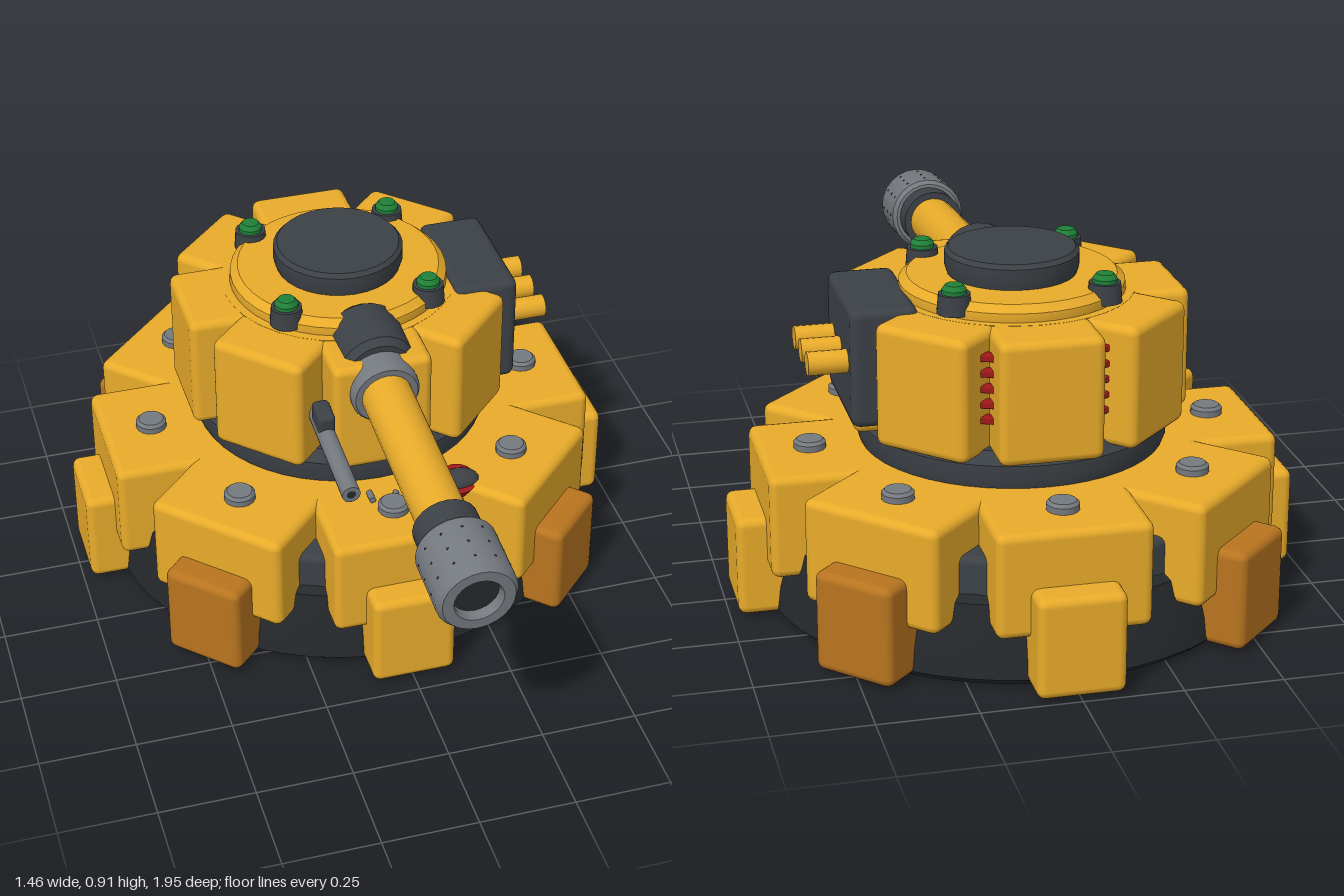
import * as THREE from 'three';
import { RoundedBoxGeometry } from 'three/addons/geometries/RoundedBoxGeometry.js';
import { toCreasedNormals } from 'three/addons/utils/BufferGeometryUtils.js';

const mat = (color) => new THREE.MeshStandardMaterial({ color });
const gold = mat(0xe8ab2a), orange = mat(0xb8741f), dark = mat(0x3c4146), black = mat(0x26292c);
const grey = mat(0x74797e), green = mat(0x1f8038), red = mat(0xa01818), brass = mat(0xc9a869);

function add(parent, name, geo, material, x = 0, y = 0, z = 0) {
  const mesh = new THREE.Mesh(geo, material);
  mesh.name = name;
  mesh.position.set(x, y, z);
  parent.add(mesh);
  return mesh;
}
const box = (w, h, d, r = 0.02) => new RoundedBoxGeometry(w, h, d, 2, r);
const lathe = (pts, seg = 40) =>
  toCreasedNormals(new THREE.LatheGeometry(pts.map(([x, y]) => new THREE.Vector2(x, y)), seg), 0.6);
const cyl = (r, h, seg = 20, r2 = r) => new THREE.CylinderGeometry(r2, r, h, seg);
const alongZ = (geo) => geo.rotateX(Math.PI / 2);

// Repeats a part in a ring, calling build(spoke, index) with +z pointing outwards
function ring(parent, name, count, offset, build) {
  for (let i = 0; i < count; i++) {
    const spoke = new THREE.Group();
    spoke.name = name;
    spoke.rotation.y = ((i + offset) / count) * Math.PI * 2;
    parent.add(spoke);
    build(spoke, i);
  }
}

function buildBase() {
  const base = new THREE.Group();
  base.name = 'base';
  add(base, 'baseDrum', lathe([[0, 0], [0.62, 0], [0.642, 0.02], [0.635, 0.08], [0.605, 0.2], [0.57, 0.23], [0, 0.23]], 48), black);
  ring(base, 'baseSegment', 8, 0, (s, i) => {
    add(s, 'armourBlock', box(0.385, 0.27, 0.355, 0.022), gold, 0, 0.275, 0.477);
    add(s, 'footPad', box(0.22, 0.26, 0.2, 0.022), i % 2 ? orange : gold, 0, 0.14, 0.63);
    add(s, 'bolt', lathe([[0.041, 0], [0.041, 0.018], [0.033, 0.026], [0, 0.026]], 16), grey, 0, 0.408, 0.523);
  });
  ring(base, 'gapFiller', 8, 0.5, (s) => {
    add(s, 'fillerBlock', box(0.13, 0.22, 0.2), dark, 0, 0.2, 0.485);
  });
  return base;
}

function buildTurret() {
  const turret = new THREE.Group();
  turret.name = 'turret';
  add(turret, 'turretRing', lathe([[0, 0.4], [0.385, 0.4], [0.395, 0.425], [0.395, 0.47], [0.37, 0.5], [0, 0.5]], 48), dark);
  add(turret, 'turretCore', cyl(0.31, 0.33, 32), gold, 0, 0.635, 0);
  ring(turret, 'turretSegment', 8, 0, (s) => {
    add(s, 'turretBlock', box(0.262, 0.315, 0.23, 0.022), gold, 0, 0.642, 0.315);
  });
  add(turret, 'roof', lathe([[0.28, 0.78], [0.287, 0.8], [0.285, 0.822], [0.265, 0.84], [0, 0.842]]), gold);
  add(turret, 'hatch', lathe([[0.16, 0.83], [0.17, 0.86], [0.17, 0.895], [0.16, 0.906], [0, 0.906]], 32), dark);
  ring(turret, 'lamp', 4, 0.5, (s) => {
    add(s, 'lampBase', cyl(0.044, 0.05, 16, 0.04), dark, 0, 0.832, 0.268);
    add(s, 'lampLens', lathe([[0.031, 0], [0.031, 0.012], [0.022, 0.024], [0, 0.026]], 16), green, 0, 0.855, 0.268);
  });
  // Slotted vents either side of the rear block
  for (const side of [-1, 1]) {
    const vent = new THREE.Group();
    vent.name = 'rearVent';
    vent.rotation.y = Math.PI + side * Math.PI / 8;
    turret.add(vent);
    for (let i = 0; i < 5; i++) add(vent, 'ventSlot', box(0.06, 0.018, 0.03, 0.004), red, 0, 0.58 + i * 0.04, 0.365);
  }
  // Side box with three exhaust pipes
  add(turret, 'sideBox', box(0.17, 0.305, 0.345, 0.022), dark, 0.355, 0.662, 0.012);
  for (let i = -1; i <= 1; i++) {
    add(turret, 'exhaustPipe', cyl(0.03, 0.12, 16).rotateZ(Math.PI / 2), gold, 0.48, 0.668, 0.005 + i * 0.098);
  }
  return turret;
}

function buildGun() {
  // Pivot sits in the mantlet; the whole gun droops slightly
  const gun = new THREE.Group();
  gun.name = 'gun';
  gun.position.set(0, 0.732, 0.05);
  gun.rotation.x = 0.077;
  add(gun, 'mantlet', alongZ(lathe([[0, -0.11], [0.085, -0.11], [0.1, -0.09], [0.1, 0.05], [0.085, 0.07], [0, 0.07]], 24)), dark, 0, 0.022, 0);
  add(gun, 'barrelCollar', alongZ(lathe([[0, 0.05], [0.09, 0.05], [0.09, 0.125], [0.082, 0.137], [0.06, 0.137]], 24)), grey);
  add(gun, 'barrel', alongZ(cyl(0.065, 0.6, 24)), gold, 0, 0, 0.37);
  add(gun, 'muzzleCollar', alongZ(cyl(0.083, 0.08, 24)), dark, 0, 0, 0.67);
  add(gun, 'muzzle', alongZ(lathe([[0.07, 0.7], [0.092, 0.702], [0.102, 0.715], [0.102, 0.875], [0.09, 0.893],
    [0.062, 0.893], [0.058, 0.885], [0.058, 0.85]], 24)), grey);
  add(gun, 'bore', new THREE.CircleGeometry(0.06, 24), black, 0, 0, 0.865);
  for (let row = 0; row < 3; row++) {
    ring(gun, 'muzzleHoles', 1, 0, (s) => {
      for (let i = 0; i < 12; i++) {
        const a = (i / 12) * Math.PI * 2;
        add(s, 'muzzleHole', new THREE.SphereGeometry(0.004, 6, 4), black, Math.cos(a) * 0.1, Math.sin(a) * 0.1, 0.745 + row * 0.05);
      }
    });
  }
  // Small secondary barrel and its bracket
  add(gun, 'secondaryBarrel', alongZ(cyl(0.024, 0.33, 16)), grey, -0.156, -0.1, 0.2);
  add(gun, 'secondaryBore', new THREE.CircleGeometry(0.012, 12), black, -0.156, -0.1, 0.3655);
  add(gun, 'secondaryBracket', box(0.045, 0.07, 0.08, 0.012), dark, -0.155, -0.075, 0.1);
  return gun;
}

export function createModel() {
  const model = new THREE.Group();
  model.name = 'gunTurret';
  const base = buildBase(), turret = buildTurret();
  base.position.z = turret.position.z = -0.27;
  model.add(base, turret, buildGun());

  // Inverted red cone with dark cap in the gap beside the front block
  const beacon = new THREE.Group();
  beacon.name = 'beacon';
  beacon.position.set(0.195, 0.41, 0.185);
  beacon.rotation.x = 0.25;
  add(beacon, 'beaconCone', cyl(0.004, 0.11, 16, 0.05), red, 0, -0.05, 0);
  const cap = add(beacon, 'beaconCap', new THREE.SphereGeometry(0.057, 16, 6, 0, Math.PI * 2, 0, Math.PI / 2), dark);
  cap.scale.set(1, 0.5, 0.6);
  cap.material = dark;
  model.add(beacon);

  // Spent casings lying on the front block
  for (let i = 0; i < 6; i++) {
    const casing = add(model, 'casing', alongZ(cyl(0.009, 0.035, 8)), i % 2 ? brass : grey,
      -0.045 + i * 0.029, 0.419, 0.2 + (i * 3 % 5) * 0.016);
    casing.rotation.y = i * 1.3;
  }
  return model;
}
